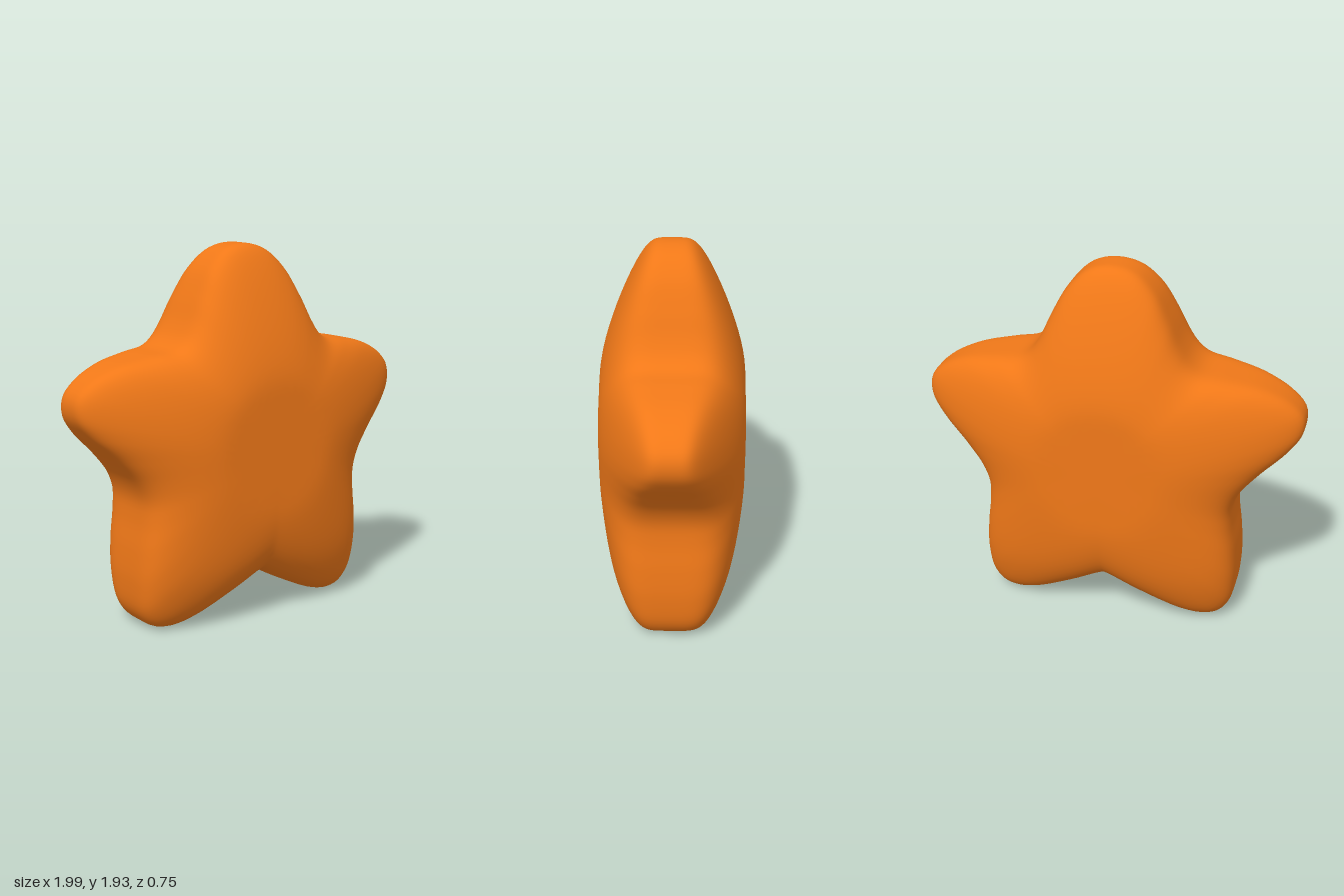
import * as THREE from 'three';

// Right half of the star outline, from the top tip down to the bottom notch
const HALF = [
  [0, 1.935], [0.12, 1.908], [0.22, 1.82], [0.3, 1.68], [0.36, 1.55], [0.41, 1.475],
  [0.47, 1.432], [0.6, 1.41], [0.78, 1.37], [0.92, 1.3], [0.988, 1.225], [0.99, 1.135],
  [0.93, 1.04], [0.8, 0.91], [0.7, 0.79], [0.66, 0.69], [0.66, 0.58], [0.68, 0.42],
  [0.688, 0.25], [0.667, 0.1], [0.61, 0.025], [0.53, 0.005], [0.42, 0.025], [0.2, 0.125],
  [0.03, 0.215], [0, 0.225],
];
const CENTRE_Y = 0.93;
const AROUND = 240, ACROSS = 64;
const ROUNDING = 5; // superellipse power of the edge

// Half thickness: flat in the middle, tapering towards the arm tips
function halfThickness(r) {
  const t = Math.max(0, r - 0.3);
  return 0.375 - 0.4 * t * t / (t + 0.25);
}

function starGeometry() {
  const mirrored = HALF.slice(1, -1).reverse().map(([x, y]) => [-x, y]);
  const outline = new THREE.CatmullRomCurve3(
    [...HALF, ...mirrored].map(([x, y]) => new THREE.Vector3(x, y - CENTRE_Y, 0)), true);
  outline.arcLengthDivisions = 1000;
  const rim = outline.getSpacedPoints(AROUND).slice(0, AROUND);

  // Rings from the back pole, out over the rim, to the front pole
  const pos = [0, CENTRE_Y, -0.375];
  for (let j = 1; j < ACROSS; j++) {
    const a = (j / ACROSS - 0.5) * Math.PI;
    const c = Math.cos(a), s = Math.sin(a);
    const k = Math.pow(c ** ROUNDING + Math.abs(s) ** ROUNDING, -1 / ROUNDING);
    for (const p of rim) {
      const x = p.x * c * k, y = p.y * c * k;
      // The two lower arms stay plumper
      const plump = 1 - 0.25 * THREE.MathUtils.smoothstep(-y, 0, 0.7);
      pos.push(x, y + CENTRE_Y, s * k * halfThickness(Math.hypot(x, y) * plump));
    }
  }
  pos.push(0, CENTRE_Y, 0.375);

  // The outline runs clockwise seen from the front
  const index = [];
  const last = pos.length / 3 - 1;
  const at = (j, i) => 1 + (j - 1) * AROUND + (i % AROUND);
  for (let i = 0; i < AROUND; i++) {
    index.push(0, at(1, i), at(1, i + 1));
    for (let j = 1; j < ACROSS - 1; j++) {
      const p = at(j, i), q = at(j, i + 1), r = at(j + 1, i), t = at(j + 1, i + 1);
      index.push(p, r, q, q, r, t);
    }
    index.push(last, at(ACROSS - 1, i + 1), at(ACROSS - 1, i));
  }
  const geo = new THREE.BufferGeometry();
  geo.setAttribute('position', new THREE.Float32BufferAttribute(pos, 3));
  geo.setIndex(index);
  geo.computeVertexNormals();
  return geo;
}

export function createModel() {
  const group = new THREE.Group();
  group.name = 'puffyStar';
  const star = new THREE.Mesh(starGeometry(), new THREE.MeshStandardMaterial({ color: 0xf07818 }));
  star.name = 'starBody';
  group.add(star);
  return group;
}
